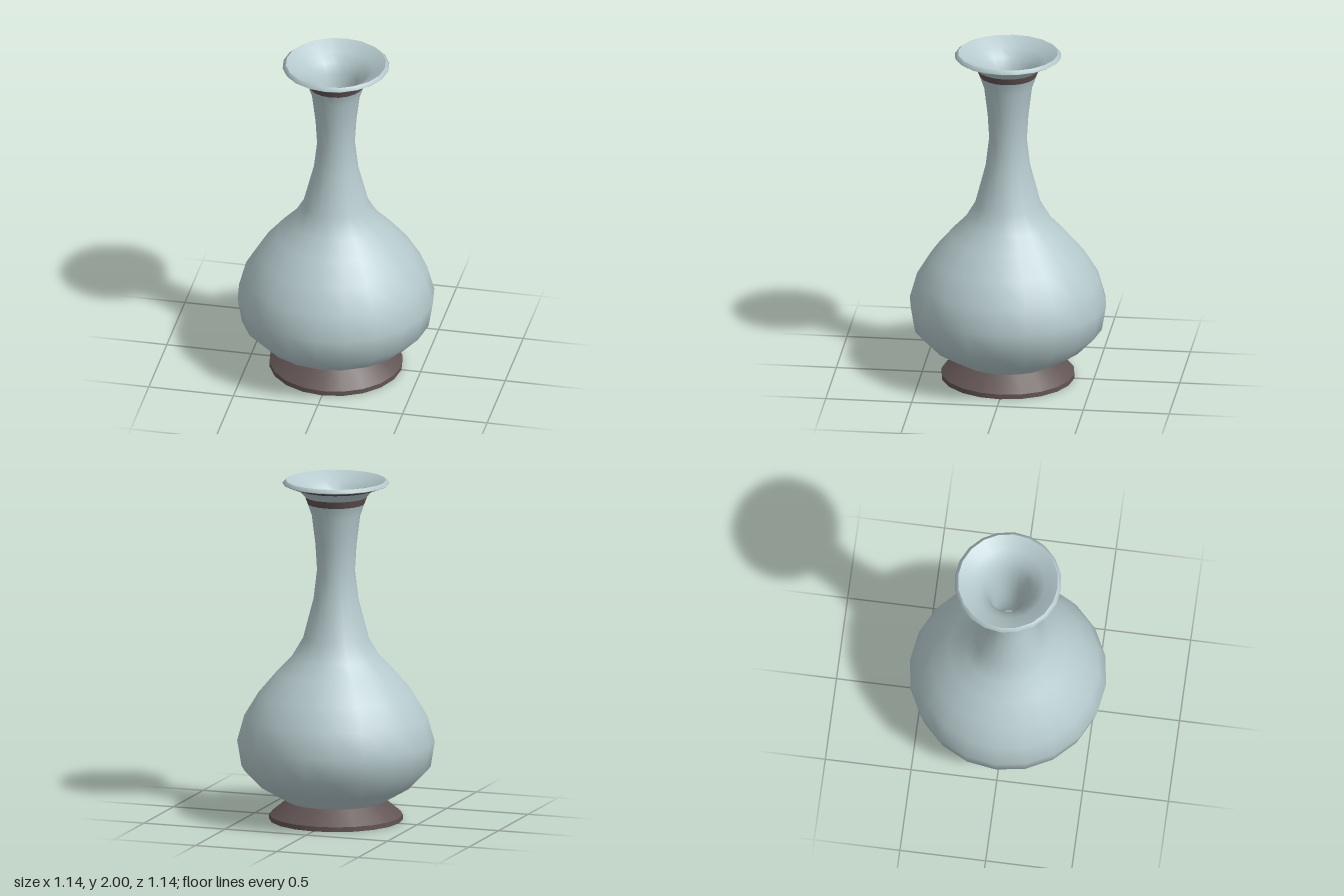
import * as THREE from 'three';

const SIDES = 20;

export function createModel() {
  const vase = new THREE.Group();
  vase.name = 'vase';

  const glaze = new THREE.MeshStandardMaterial({ color: 0xb5c9cc });
  glaze.name = 'pale blue glaze';
  const clay = new THREE.MeshStandardMaterial({ color: 0x625454 });
  clay.name = 'dark brown clay';

  // Turns a profile of [radius, height] points; listed upwards it faces outwards
  function turn(name, material, profile) {
    const points = profile.map(([r, y]) => new THREE.Vector2(r, y));
    const mesh = new THREE.Mesh(new THREE.LatheGeometry(points, SIDES), material);
    mesh.name = name;
    vase.add(mesh);
  }

  // Foot: flat underside, short upright edge, sloping shoulder
  turn('footUnderside', clay, [[0, 0], [0.387, 0]]);
  turn('footEdge', clay, [[0.387, 0], [0.387, 0.028]]);
  turn('footSlope', clay, [[0.387, 0.028], [0.285, 0.112]]);

  // Round belly running up into the slender neck
  turn('body', glaze, [
    [0.285, 0.112], [0.445, 0.205], [0.547, 0.31], [0.572, 0.46],
    [0.53, 0.61], [0.448, 0.745], [0.342, 0.87], [0.255, 0.96],
    [0.19, 1.07], [0.13, 1.3], [0.11, 1.47], [0.119, 1.62],
    [0.14, 1.79], [0.165, 1.862],
  ]);

  // Bands below the flared mouth
  turn('neckBand', clay, [[0.165, 1.862], [0.18, 1.903]]);
  turn('mouthFlare', glaze, [[0.18, 1.903], [0.205, 1.932], [0.228, 1.95]]);
  turn('lipUnderside', clay, [[0.228, 1.95], [0.3, 1.975]]);

  // Lip
  turn('lipEdge', glaze, [[0.3, 1.975], [0.31, 1.982], [0.29, 2]]);

  // Hollow inside, from the mouth down to the floor
  turn('inside', glaze, [
    [0.29, 2], [0.215, 1.955], [0.165, 1.91], [0.132, 1.85], [0.105, 1.75],
    [0.09, 1.62], [0.082, 1.47], [0.1, 1.3], [0.16, 1.07], [0.225, 0.96],
    [0.31, 0.87], [0.42, 0.745], [0.5, 0.61], [0.54, 0.46], [0.515, 0.32],
    [0.42, 0.23], [0.27, 0.15],
  ]);
  turn('insideFloor', glaze, [[0.27, 0.15], [0, 0.15]]);

  return vase;
}
